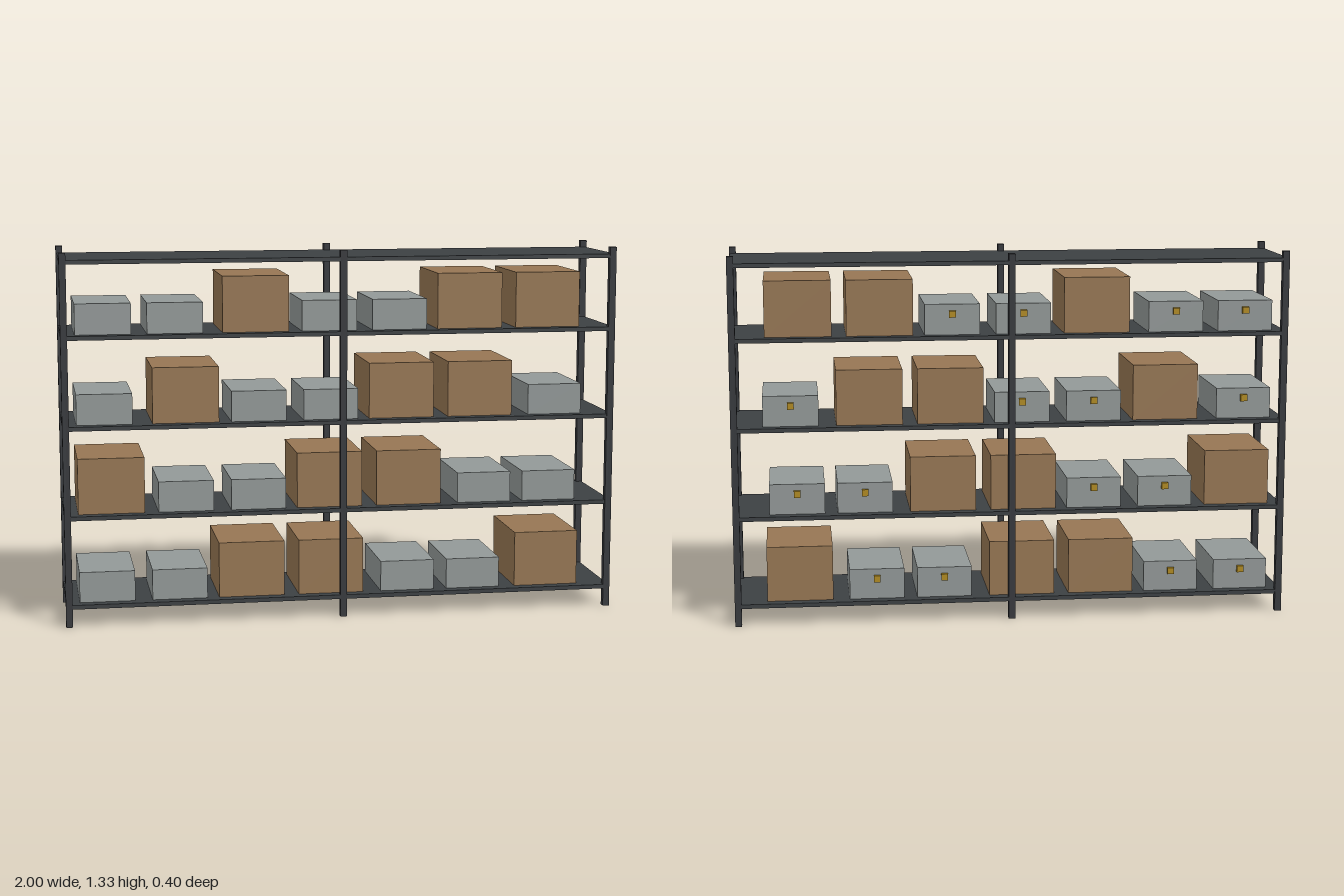
import * as THREE from 'three';

const mat = (color) => new THREE.MeshStandardMaterial({ color });

export function createModel() {
  const model = new THREE.Group();
  model.name = 'storageRack';
  const postMat = mat(0x36383c), shelfMat = mat(0x3c4043);
  const cartonMat = mat(0x967653), drawerMat = mat(0x929897), knobMat = mat(0xb08a20);

  // Box standing on y, centred on x and z
  function box(parent, name, material, w, h, d, x, y, z) {
    const mesh = new THREE.Mesh(new THREE.BoxGeometry(w, h, d), material);
    mesh.name = name;
    mesh.position.set(x, y + h / 2, z);
    parent.add(mesh);
  }

  // Six upright posts
  for (const x of [-0.988, 0, 0.988]) {
    for (const z of [-0.188, 0.188]) box(model, 'post', postMat, 0.024, 1.33, 0.024, x, 0, z);
  }

  // Five shelves, the top one slightly closer to the fourth
  for (const y of [0.065, 0.385, 0.705, 1.025, 1.29]) {
    box(model, 'shelf', shelfMat, 1.994, 0.015, 0.395, 0, y, 0);
  }

  // Contents of each row: c = tall carton, d = low drawer box with a pull on the back
  const rows = [
    ['ddccddc', [-0.85, -0.59, -0.33, -0.04, 0.243, 0.488, 0.765]],
    ['cddccdd', [-0.83, -0.564, -0.303, -0.045, 0.246, 0.527, 0.77]],
    ['dcddccd', [-0.85, -0.562, -0.30, -0.04, 0.218, 0.508, 0.788]],
    ['ddcddcc', [-0.85, -0.597, -0.31, -0.045, 0.21, 0.468, 0.757]],
  ];
  rows.forEach(([kinds, centres], r) => {
    const row = new THREE.Group();
    row.name = 'shelfContents';
    row.position.y = 0.08 + r * 0.32;
    model.add(row);
    centres.forEach((x, i) => {
      if (kinds[i] === 'c') {
        box(row, 'carton', cartonMat, 0.237, 0.2, 0.32, x, 0, 0);
      } else {
        box(row, 'drawerBox', drawerMat, 0.198, 0.11, 0.32, x, 0, 0);
        box(row, 'drawerPull', knobMat, 0.024, 0.024, 0.024, x, 0.063, -0.162);
      }
    });
  });
  return model;
}
